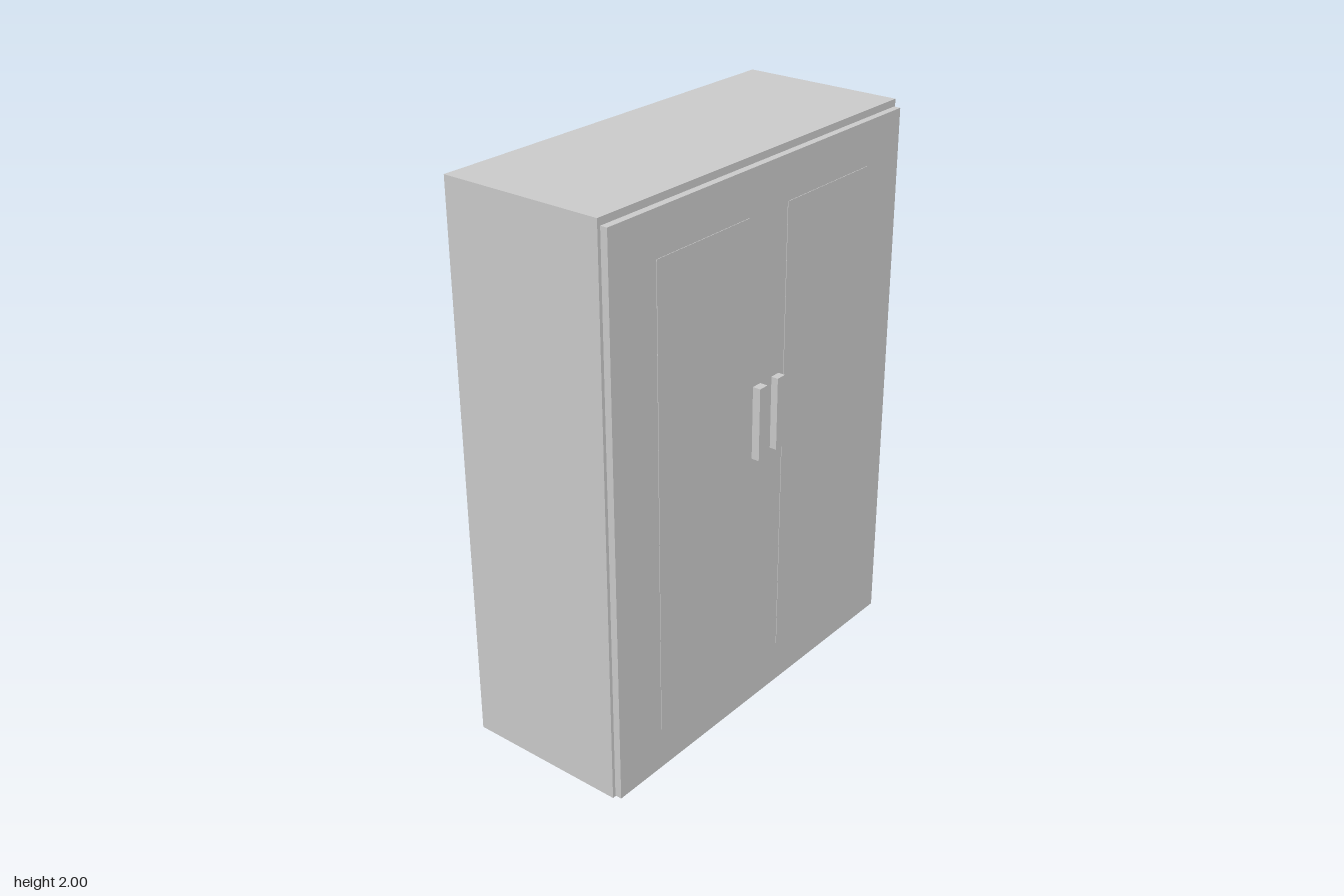
import * as THREE from 'three';

export function createModel() {
  const group = new THREE.Group();
  const material = new THREE.MeshStandardMaterial({ color: 0xcccccc, flatShading: true });

  // Box given by its minimum and maximum along each axis
  function box(name, [x0, x1], [y0, y1], [z0, z1]) {
    const mesh = new THREE.Mesh(new THREE.BoxGeometry(x1 - x0, y1 - y0, z1 - z0), material);
    mesh.position.set((x0 + x1) / 2, (y0 + y1) / 2, (z0 + z1) / 2);
    mesh.name = name;
    group.add(mesh);
  }

  // Cabinet body, with the door slab on its +x side
  box('cabinetBody', [-0.327, 0.272], [0, 2], [-0.75, 0.75]);
  box('doorSlab', [0.272, 0.297], [0.003, 1.975], [-0.743, 0.738]);

  // Thin raised panel on each door
  box('leftDoorPanel', [0.297, 0.299], [0.16, 1.82], [0.086, 0.532]);
  box('rightDoorPanel', [0.297, 0.299], [0.16, 1.82], [-0.553, -0.108]);

  // Upright bar handles beside the centre line
  box('leftHandle', [0.297, 0.326], [0.977, 1.238], [0.018, 0.057]);
  box('rightHandle', [0.297, 0.323], [0.977, 1.238], [-0.082, -0.043]);

  return group;
}
